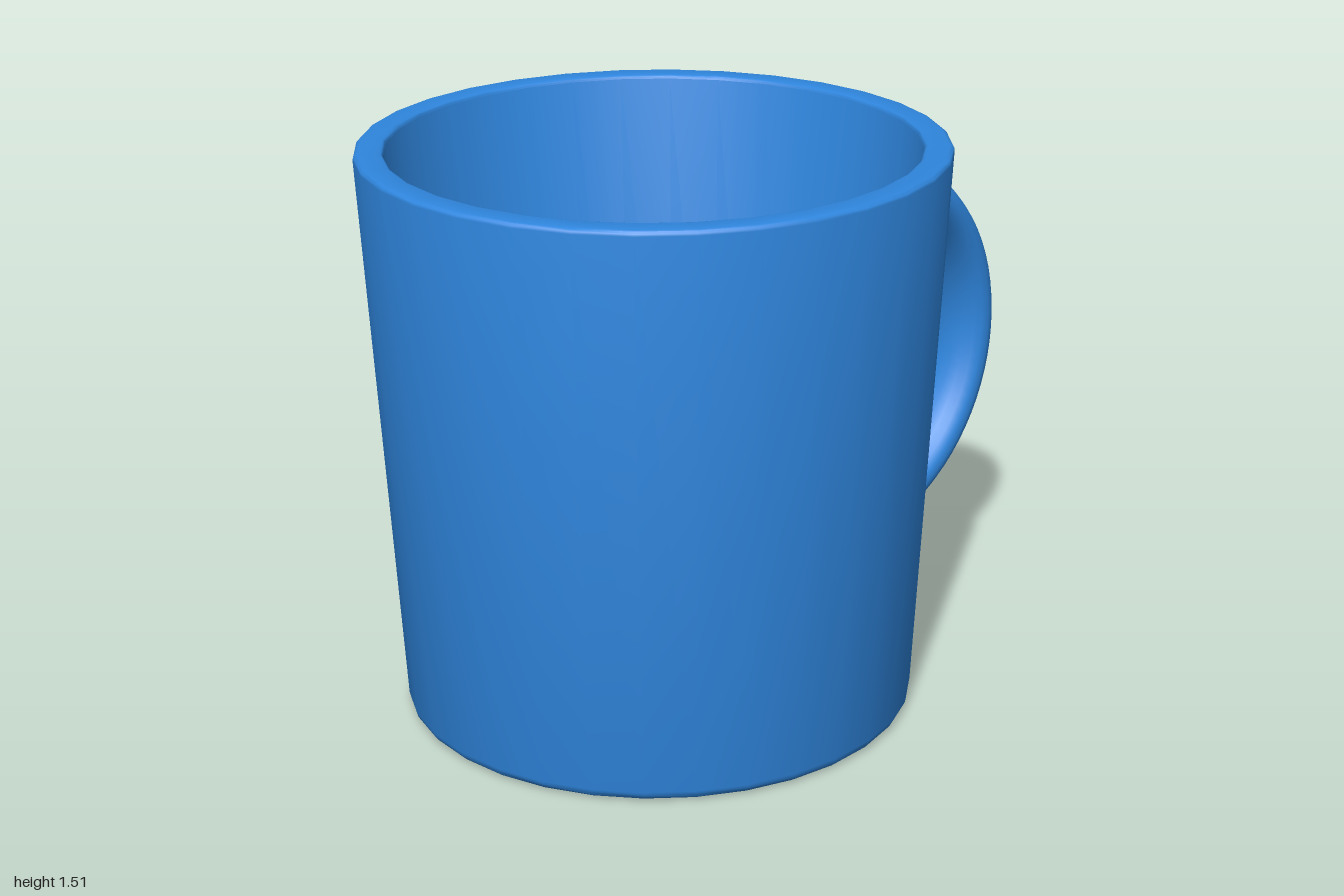
import * as THREE from 'three';
import { toCreasedNormals } from 'three/addons/utils/BufferGeometryUtils.js';

const V = (x, y) => new THREE.Vector2(x, y);

// Points of a quarter-round corner centred on (cx, cy)
function fillet(cx, cy, r, from, to, n = 5) {
  return Array.from({ length: n + 1 }, (_, i) => {
    const a = THREE.MathUtils.degToRad(from + (to - from) * i / n);
    return V(cx + r * Math.cos(a), cy + r * Math.sin(a));
  });
}

export function createModel() {
  const model = new THREE.Group();
  model.name = 'mug';
  const material = new THREE.MeshStandardMaterial({ color: 0x2f86de });

  // Tapered cup: base, outer wall, rim, inner wall and floor in one profile
  const profile = [
    V(0, 0),
    ...fillet(0.642, 0.03, 0.03, -90, -3),
    ...fillet(0.743, 1.498, 0.012, -3, 90, 3),
    ...fillet(0.69, 1.5, 0.01, 90, 177, 3),
    ...fillet(0.565, 0.12, 0.04, -3, -90),
    V(0, 0.08),
  ];
  const cup = new THREE.Mesh(toCreasedNormals(new THREE.LatheGeometry(profile, 32), 0.6), material);
  cup.name = 'cup';

  // Half-ring handle, wider than it is thick, its ends sunk into the wall
  const lower = THREE.MathUtils.degToRad(99);
  const upper = THREE.MathUtils.degToRad(93);
  const ring = new THREE.TorusGeometry(0.5, 0.066, 20, 40, lower + upper);
  ring.rotateZ(-lower);
  ring.scale(1, 1, 1.63);
  ring.translate(0.718, 0.765, 0);
  const handle = new THREE.Mesh(ring, material);
  handle.name = 'handle';
  handle.rotation.y = THREE.MathUtils.degToRad(14);

  model.add(cup, handle);
  model.position.x = -0.246;
  const root = new THREE.Group();
  root.add(model);
  return root;
}
